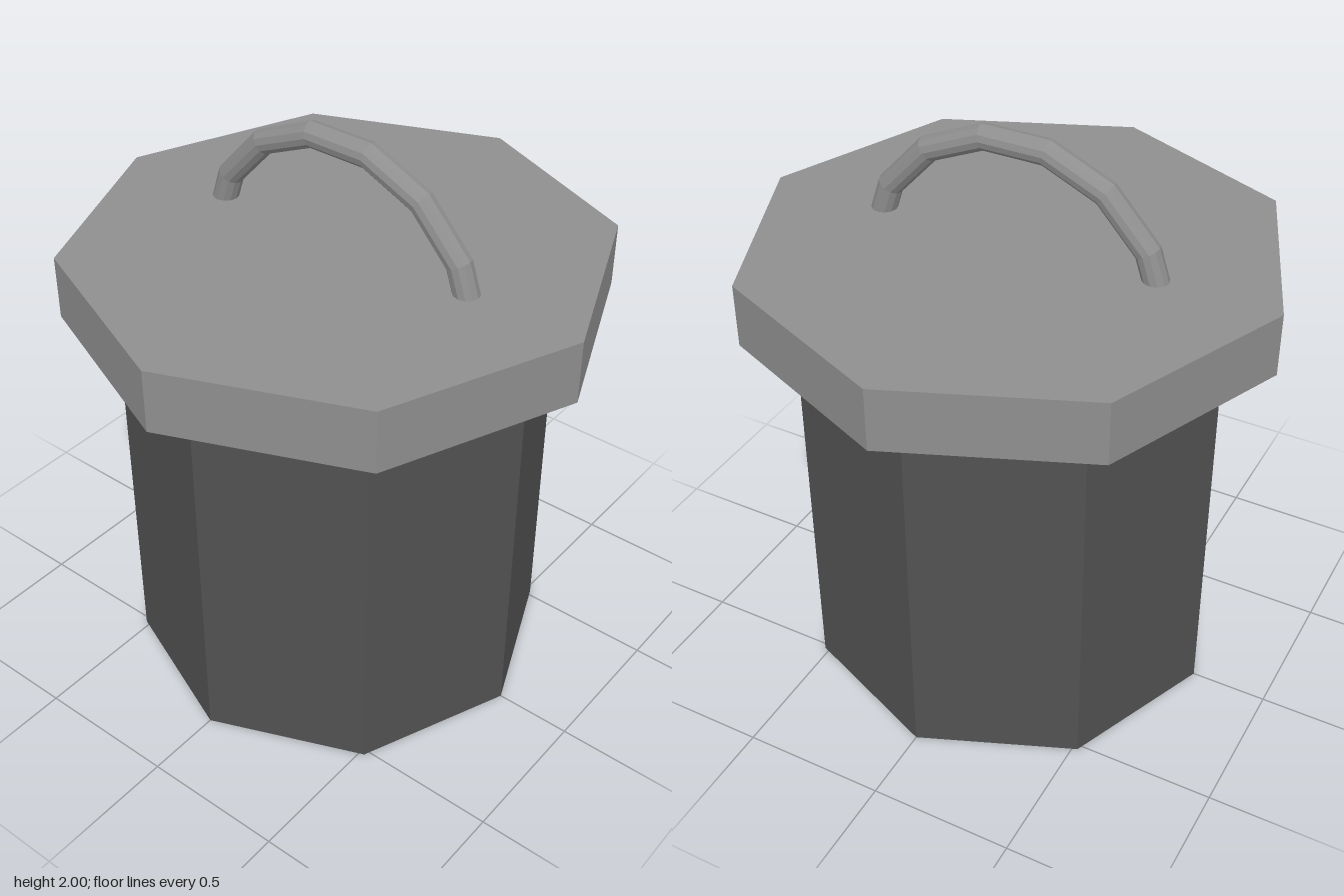
import * as THREE from 'three';

const grey = (color) => new THREE.MeshStandardMaterial({ color, flatShading: true });

function addPart(group, name, geometry, material, y) {
  const mesh = new THREE.Mesh(geometry, material);
  mesh.name = name;
  mesh.position.y = y;
  group.add(mesh);
}

export function createModel() {
  const group = new THREE.Group();
  group.name = 'lidded bin';
  const dark = grey(0x525252);
  const light = grey(0x8f8f8f);

  // Octagonal container with a corner facing the front
  const bodyHeight = 1.39;
  addPart(group, 'body', new THREE.CylinderGeometry(0.733, 0.733, bodyHeight, 8), dark, bodyHeight / 2);

  // Wider octagonal lid resting on the container
  const lidHeight = 0.22;
  addPart(group, 'lid', new THREE.CylinderGeometry(0.91, 0.91, lidHeight, 8), light, bodyHeight + lidHeight / 2);

  // Arched handle of seven straight pieces, running front to back, ends sunk in the lid
  const segments = 7;
  const arc = THREE.MathUtils.degToRad(24 * segments);
  const handle = new THREE.TorusGeometry(0.533, 0.044, 12, segments, arc);
  handle.rotateZ((Math.PI - arc) / 2);
  handle.rotateY(Math.PI / 2);
  addPart(group, 'handle', handle, light, 1.436);

  return group;
}
